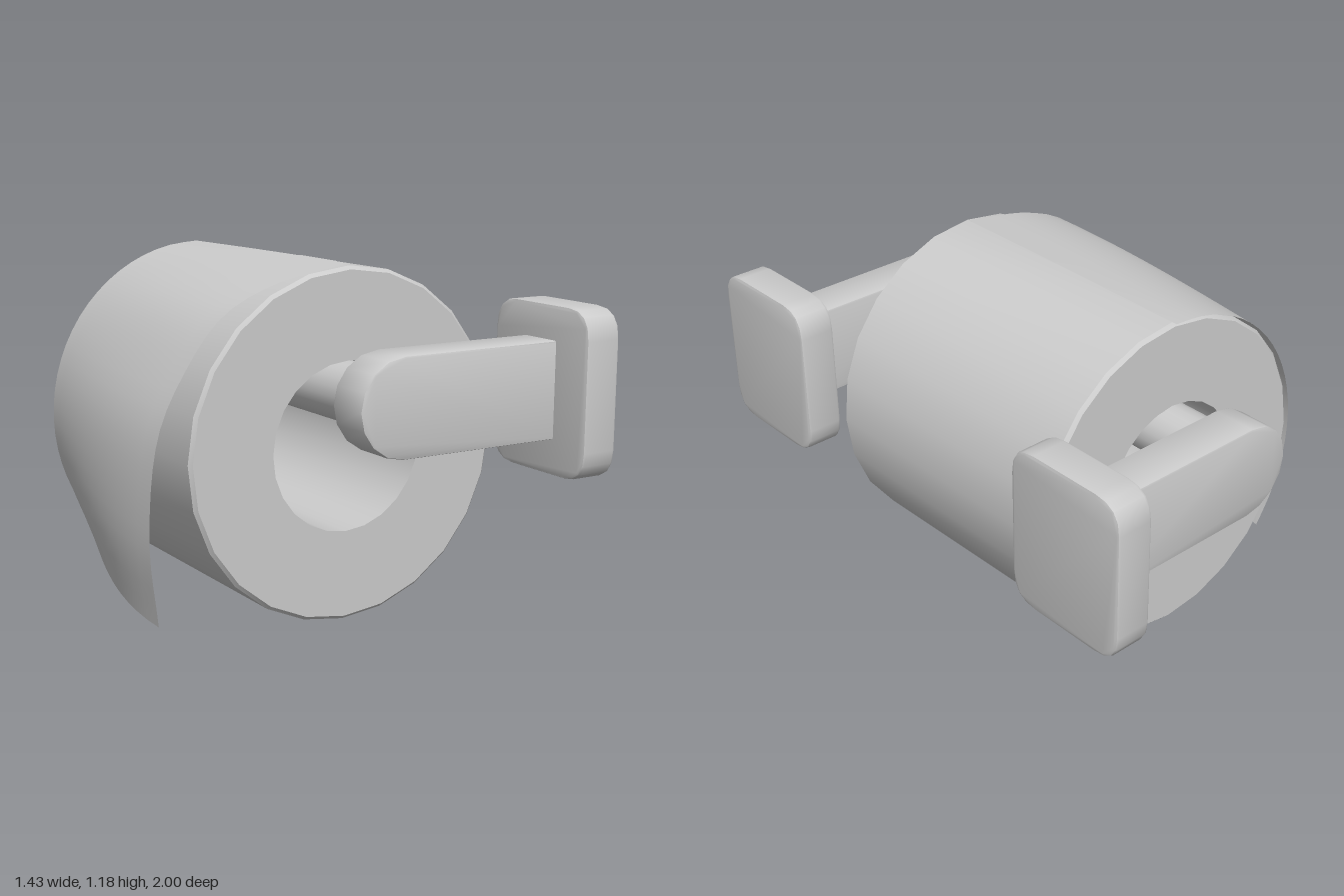
import * as THREE from 'three';
import { toCreasedNormals } from 'three/addons/utils/BufferGeometryUtils.js';

const grey = new THREE.MeshStandardMaterial({ color: 0xcccccc });
const thin = new THREE.MeshStandardMaterial({ color: 0xcccccc, side: THREE.DoubleSide });

function part(name, geometry, material = grey) {
  const mesh = new THREE.Mesh(geometry, material);
  mesh.name = name;
  return mesh;
}

// Extrusion of exact outline and depth, with a small inward bevel, centred on z
function slab(shape, depth, bevel) {
  const geo = new THREE.ExtrudeGeometry(shape, {
    depth: depth - 2 * bevel, bevelThickness: bevel, bevelSize: bevel,
    bevelOffset: -bevel, bevelSegments: 2, curveSegments: 4,
  });
  geo.translate(0, 0, -depth / 2 + bevel);
  return toCreasedNormals(geo, 0.6);
}

// Hollow paper roll along z, slightly tapered and skewed
function rollGeometry() {
  const R = 0.59, r = 0.285, h = 0.52, b = 0.012;
  const profile = [
    [r, -h], [R - b, -h], [R, -h + b], [R, h - b], [R - b, h], [r, h], [r, -h],
  ].map(([x, y]) => new THREE.Vector2(x, y));
  const geo = new THREE.LatheGeometry(profile, 24);
  geo.rotateX(Math.PI / 2);
  const p = geo.attributes.position;
  for (let i = 0; i < p.count; i++) {
    const x = p.getX(i), y = p.getY(i), z = p.getZ(i);
    const s = 0.99 + 0.017 * z;
    p.setXYZ(i, x * s * 0.975 - 0.007, 0.592 + y * s, z + 0.008 + 0.017 * (x + y));
  }
  return toCreasedNormals(geo, 0.6);
}

// Loose sheet: its back edge hugs the roll, its front edge swings outward
function sheetGeometry() {
  const curve = (pts) => new THREE.CatmullRomCurve3(pts.map(([x, y]) => new THREE.Vector3(x, y, 0)));
  const front = curve([[0, 1.186], [-0.27, 1.135], [-0.46, 1.045], [-0.6, 0.87],
    [-0.685, 0.69], [-0.718, 0.36], [-0.69, 0.09]]);
  const hug = [];
  for (let i = 0; i <= 12; i++) {
    const a = Math.PI * (0.5 + 0.725 * i / 12), r = 0.583 + 0.03 * (i / 12) ** 2;
    hug.push([Math.cos(a) * r * 0.985, 0.592 + Math.sin(a) * r]);
  }
  const back = curve(hug);
  const geo = new THREE.PlaneGeometry(1, 1, 12, 24);
  const p = geo.attributes.position;
  for (let i = 0; i < p.count; i++) {
    const u = p.getX(i) + 0.5, t = 0.5 - p.getY(i);
    const v = back.getPointAt(t).lerp(front.getPointAt(t), Math.sin(u * Math.PI / 2));
    p.setXYZ(i, v.x, v.y, -0.515 + 1.025 * u);
  }
  geo.computeVertexNormals();
  return geo;
}

// Arm outline with one rounded end
function armShape() {
  const s = new THREE.Shape();
  s.moveTo(0.59, 0.61);
  s.lineTo(0.59, 0.935);
  s.lineTo(-0.008, 0.935);
  s.absarc(-0.008, 0.7725, 0.1625, Math.PI / 2, Math.PI * 1.5, false);
  s.closePath();
  return s;
}

// Rounded rectangle centred on the origin
function plateShape(w, h, r) {
  const s = new THREE.Shape(), x = w / 2, y = h / 2;
  s.moveTo(-x + r, -y);
  s.lineTo(x - r, -y);
  s.quadraticCurveTo(x, -y, x, -y + r);
  s.lineTo(x, y - r);
  s.quadraticCurveTo(x, y, x - r, y);
  s.lineTo(-x + r, y);
  s.quadraticCurveTo(-x, y, -x, y - r);
  s.lineTo(-x, -y + r);
  s.quadraticCurveTo(-x, -y, -x + r, -y);
  return s;
}

export function createModel() {
  const model = new THREE.Group();
  model.name = 'paperRollHolder';
  model.add(part('paperRoll', rollGeometry()));
  model.add(part('looseSheet', sheetGeometry(), thin));

  // Rod through the roll
  const rod = part('rod', new THREE.CylinderGeometry(0.1, 0.1, 1.4, 20));
  rod.rotation.x = Math.PI / 2;
  rod.position.set(-0.005, 0.773, 0);
  model.add(rod);

  // Mirrored arms and wall plates
  const armGeo = slab(armShape(), 0.158, 0.008);
  const plateGeo = slab(plateShape(0.46, 0.56, 0.1), 0.13, 0.01);
  for (const [side, sign] of [['front', 1], ['back', -1]]) {
    const arm = part(side + 'Arm', armGeo);
    arm.position.z = sign * 0.769;
    const plate = part(side + 'WallPlate', plateGeo);
    plate.rotation.y = Math.PI / 2;
    plate.position.set(0.646, 0.77, sign * 0.77);
    model.add(arm, plate);
  }
  return model;
}
